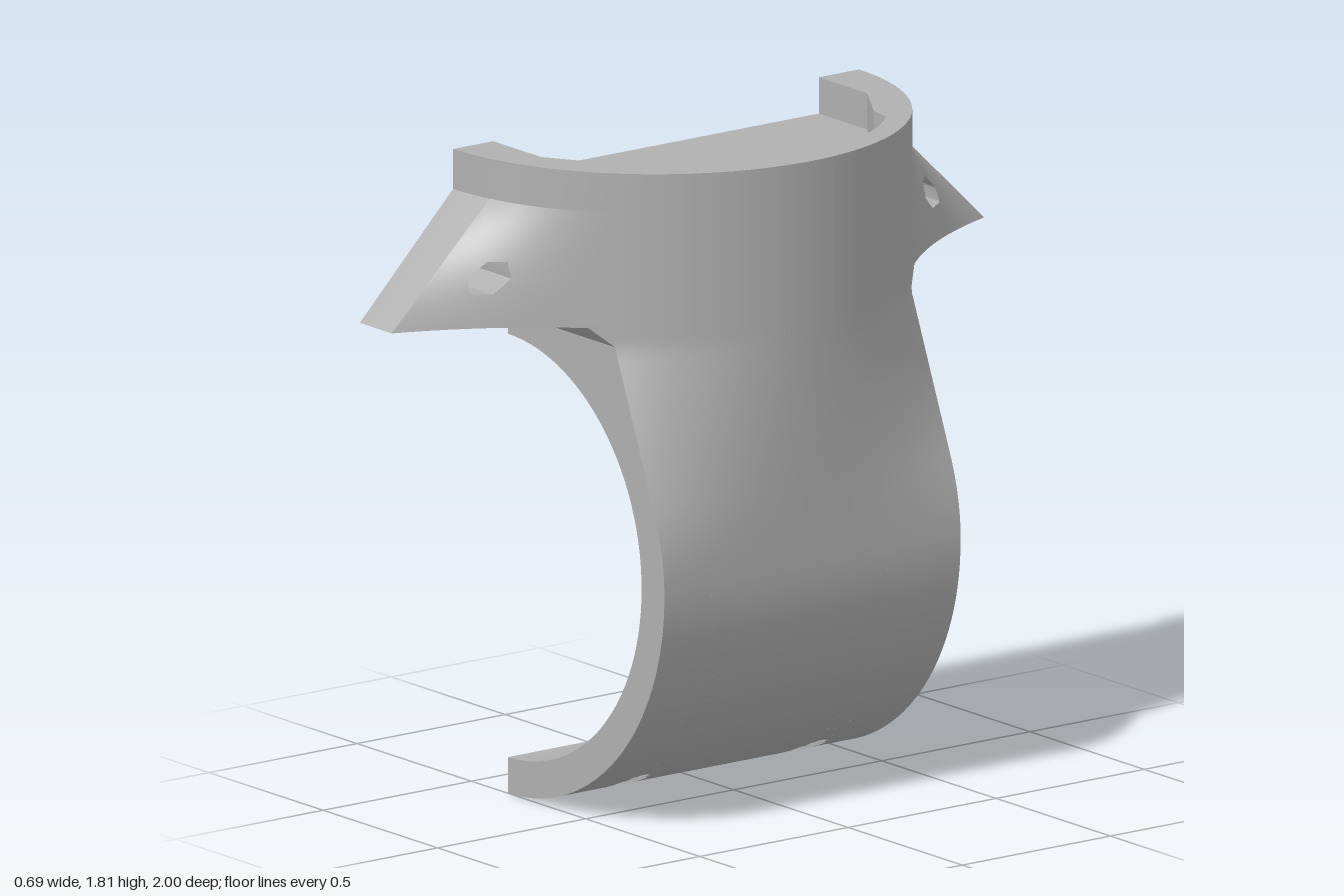
import * as THREE from 'three';
import { mergeGeometries, toCreasedNormals } from 'three/addons/utils/BufferGeometryUtils.js';

const X0 = -0.34, CY = 0.685, R = 0.685, RIN = 0.585, RWALL = 0.62, TOP = 1.81;
const lerp = THREE.MathUtils.lerp;
const V2 = (x, y) => new THREE.Vector2(x, y);

// indexed surface from a rule f(u, v) -> [x, y, z]
function surface(f, nu, nv) {
  const pos = [], idx = [];
  for (let j = 0; j <= nv; j++) for (let i = 0; i <= nu; i++) pos.push(...f(i / nu, j / nv));
  for (let j = 0; j < nv; j++) for (let i = 0; i < nu; i++) {
    const a = j * (nu + 1) + i, b = a + 1, c = a + nu + 1, d = c + 1;
    idx.push(a, b, d, a, d, c);
  }
  const g = new THREE.BufferGeometry();
  g.setAttribute('position', new THREE.Float32BufferAttribute(pos, 3));
  g.setIndex(idx);
  g.computeVertexNormals();
  return g;
}

// flat quad through four corners
const quad = (a, b, c, d) => surface((u, v) =>
  [0, 1, 2].map(k => lerp(lerp(a[k], b[k], u), lerp(d[k], c[k], u), v)), 1, 1);

// points on an arc about the clamp axis
function arc(r, a0, a1, n = 32) {
  return Array.from({ length: n + 1 }, (_, i) => {
    const a = lerp(a0, a1, i / n);
    return V2(X0 + r * Math.cos(a), CY + r * Math.sin(a));
  });
}

function slab(points, z0, z1) {
  const g = new THREE.ExtrudeGeometry(new THREE.Shape(points), { depth: z1 - z0, bevelEnabled: false });
  return toCreasedNormals(g.translate(0, 0, z0), 0.4);
}

// how far the wall has turned from the flat-sided ring into the upright round collar
function blend(y) {
  const t = Math.min(1, Math.max(0, (y - CY) / (1.33 - CY))), c = 0.35, m = 1 / (1 - c / 2);
  return t < c ? m * t * t / (2 * c) : m * (t - c / 2);
}
const wallX = (r, z, y) => lerp(X0 + r, X0 + Math.sqrt(r * r - z * z), blend(y));

// flared bracket side: concave at its foot, round where it meets the collar
const footCurve = new THREE.QuadraticBezierCurve(V2(-0.2, 1), V2(-0.09, 0.7), V2(wallX(R, 0.5, 2), 0.5));
const A0 = Math.acos(0.14 / R), A1 = Math.asin(0.5 / R);
function flare(u, v) {
  const p = footCurve.getPoint(u), a = lerp(A0, A1, u);
  return [lerp(p.x, X0 + R * Math.cos(a), v), lerp(1.38, 1.7, v), lerp(p.y, R * Math.sin(a), v)];
}

// patch around a hexagonal screw hole, running out to the edges of the flare
function holePoint(k, K) {
  const a = k / K * Math.PI * 2, s = Math.PI / 3;
  const r = 0.87 / Math.cos((a % s) - s / 2);
  return [0.32 + 0.12 * r * Math.cos(a), 0.41 + 0.15 * r * Math.sin(a)];
}
function edgePoint(k, K) {
  const q = (((k / K + 0.125) % 1) + 1) % 1 * 4, side = Math.floor(q), f = q - side;
  return [[1, f], [1 - f, 1], [0, 1 - f], [f, 0]][side];
}

export function createModel() {
  const grey = new THREE.MeshStandardMaterial({ color: 0xb0b0b0, side: THREE.DoubleSide });
  grey.name = 'grey plastic';
  const model = new THREE.Group();
  model.name = 'halfPipeClamp';
  const add = (name, geometry, parent = model) => {
    const m = new THREE.Mesh(geometry, grey);
    m.name = name;
    parent.add(m);
    return m;
  };

  // lower ring, cut in strips across so the two screw slots stay open
  const down = -Math.PI / 2;
  const inner = [
    ...arc(RWALL, 0, -Math.acos(0.4 / RWALL), 24),
    ...arc(RIN, -Math.acos(0.4 / RIN), -Math.acos(0.22 / RIN), 10),
    ...arc(RIN, -Math.acos(0.22 / RIN), down, 12)];
  const innerGap = [
    ...arc(RWALL, 0, -Math.acos(0.22 / RWALL), 30),
    ...arc(RIN, -Math.acos(0.22 / RIN), down, 12)];
  const slotEnd = -Math.acos(0.14 / R);
  const strips = [];
  for (const [a, b] of [[-0.44, -0.345], [-0.255, 0.255], [0.345, 0.44]])
    strips.push(slab([...arc(R, down, 0), ...innerGap], a, b));
  for (const zc of [-0.3, 0.3]) for (let i = 0; i < 6; i++) {
    const d = (i - 2.5) * 0.015, z = zc + d;
    const h = 0.045 + Math.sqrt(0.045 ** 2 - d * d);
    const outer = arc(R, -Math.asin((CY - h) / R), 0);
    const bore = Math.abs(d) < 0.01;
    const start = bore
      ? [V2(X0, 0.065), V2(-0.2, 0.065), V2(-0.2, h)]
      : [...arc(R, down, slotEnd, 6), V2(-0.2, h)];
    strips.push(slab([...start, ...outer, ...innerGap], z - 0.0075, z + 0.0075));
    if (bore) strips.push(slab([...arc(R, down, slotEnd, 6), V2(-0.2, 0.035), V2(X0, 0.035)], z - 0.0075, z + 0.0075));
  }
  add('lowerRing', mergeGeometries(strips));

  // zigzag grip teeth on the pad inside the ring
  const tooth = new THREE.Shape([V2(0, -0.088), V2(0.2, -0.02), V2(0.2, 0.02), V2(0, 0.088)]);
  for (let i = 0; i < 5; i++) {
    const g = new THREE.ExtrudeGeometry(tooth, { depth: 0.04, bevelEnabled: false });
    g.rotateX(Math.PI / 2).rotateZ(0.56);
    add('gripTooth', g.translate(-0.12, 0.145, (i - 2) * 0.176));
  }
  add('gripPadStep', slab([...inner.slice(25, 28), ...arc(RWALL, -0.92, -0.87, 2)], -0.44, 0.44));

  // outer wall running from the ring to the collar, and its inside
  add('outerWall', surface((u, v) => {
    const z = lerp(0.5, -0.5, u), y = lerp(CY, TOP, v);
    return [wallX(R, z, y), y, z];
  }, 40, 48));
  add('innerWall', surface((u, v) => {
    const z = lerp(-0.44, 0.44, u), y = lerp(CY, TOP, v);
    return [wallX(RWALL, z, y), y, z];
  }, 40, 48));

  // collar opening: round at the front, stepped in beside the brackets
  const pocket = [[wallX(RWALL, 0.44, 2), 0.44, 1.33], [0.03, 0.45, 1.34], [-0.13, 0.55, 1.43], [X0, 0.55, 1.43]];
  const sideOf = s => pocket.map(([x, z]) => V2(x, s * z));
  const front = Array.from({ length: 31 }, (_, i) => {
    const z = lerp(0.44, -0.44, i / 30);
    return V2(wallX(RWALL, z, 2), z);
  });
  const opening = [...sideOf(1).reverse(), ...front.slice(1, -1), ...sideOf(-1)];
  const rimOuter = Array.from({ length: 49 }, (_, i) => {
    const a = lerp(-Math.PI / 2, Math.PI / 2, i / 48);
    return V2(X0 + R * Math.cos(a), R * Math.sin(a));
  });
  const lay = (g, y) => g.rotateX(Math.PI / 2).translate(0, y, 0);
  // the turned shape faces down, so reverse its faces
  const rim = lay(new THREE.ShapeGeometry(new THREE.Shape([...rimOuter, ...opening])), TOP);
  rim.index.array.reverse();
  rim.computeVertexNormals();
  add('collarRim', rim);
  add('floorPlate', lay(new THREE.ExtrudeGeometry(new THREE.Shape(opening), { depth: 0.05, bevelEnabled: false }), 1.71));

  // end lip and bracket, built once and mirrored front to back
  const lip = [...arc(R, down, 0)];
  for (let i = 1; i <= 20; i++) {
    const y = lerp(CY, 1.33, i / 20);
    lip.push(V2(wallX(R, 0.5, y), y));
  }
  lip.push(V2(X0, 1.33), ...arc(RIN, Math.PI / 2, down, 56));
  const K = 48, fx = wallX(R, 0.5, 2), fp = footCurve.getPoint(0.88);
  for (const s of [1, -1]) {
    const end = new THREE.Group();
    end.name = s > 0 ? 'frontEnd' : 'backEnd';
    end.scale.z = s;
    model.add(end);
    add('endLip', slab(lip, 0.44, 0.5), end);
    add('bracketFlare', surface((u, v) => {
      const k = u * K, h = holePoint(k % K, K), e = edgePoint(k % K, K);
      return flare(lerp(h[0], e[0], v), lerp(h[1], e[1], v));
    }, K, 10), end);
    add('screwPocket', surface((u, v) => {
      const p = flare(...holePoint((u * K) % K, K));
      return [lerp(-0.24, p[0], v), p[1], p[2]];
    }, K, 1).toNonIndexed(), end);
    const seat = new THREE.RingGeometry(0.02, 0.065, 6).rotateY(Math.PI / 2);
    add('screwSeat', seat.translate(-0.24, 1.51, 0.75), end);
    const bore = new THREE.CylinderGeometry(0.02, 0.02, 0.1, 6, 1, true).rotateZ(Math.PI / 2);
    add('screwBore', bore.translate(-0.29, 1.51, 0.75), end);
    add('bracketSlope', surface((u, v) => {
      const x = lerp(X0, -0.2, u);
      return [x, lerp(1.38, 1.7, v), lerp(1, Math.sqrt(R * R - (x - X0) ** 2), v)];
    }, 6, 1), end);
    add('collarSide', surface((u, v) => {
      const a = lerp(Math.PI / 2, A1, u);
      return [X0 + R * Math.cos(a), lerp(1.7, TOP, v), R * Math.sin(a)];
    }, 16, 1), end);
    add('bracketUnderside', surface((u, v) => {
      const p = footCurve.getPoint(u * 0.88);
      return [lerp(X0, p.x, v), 1.38, p.y];
    }, 16, 1), end);
    add('underChamfer', quad([X0, 1.33, 0.5], [fx, 1.33, 0.5], [fp.x, 1.38, 0.55], [X0, 1.38, 0.55]), end);
    add('chamferCorner', quad([fx, 1.33, 0.5], [fx, 1.38, 0.5], [fp.x, 1.38, 0.55], [fp.x, 1.38, 0.55]), end);
    // cut face on the open side, with the small screw hole
    const cut = new THREE.Shape([[0.44, 1.33], [0.5, 1.33], [0.55, 1.38], [1, 1.38], [R, 1.7], [R, TOP],
      [0.55, TOP], [0.55, 1.43]].map(p => V2(...p)));
    cut.holes.push(new THREE.Path().absarc(0.75, 1.51, 0.02, 0, Math.PI * 2));
    add('cutFace', new THREE.ShapeGeometry(cut, 6).rotateY(-Math.PI / 2).translate(X0, 0, 0), end);
    // stepped inside of the collar and the ledge below it
    for (let i = 0; i < 3; i++) {
      const [ax, az, ay] = pocket[i], [bx, bz, by] = pocket[i + 1];
      add('collarInside', quad([ax, ay, az], [bx, by, bz], [bx, TOP, bz], [ax, TOP, az]), end);
    }
    add('insideLedge', quad([X0, 1.33, 0.44], [X0, 1.43, 0.55], [-0.13, 1.43, 0.55], [0.1, 1.33, 0.44]), end);
  }
  return model;
}
